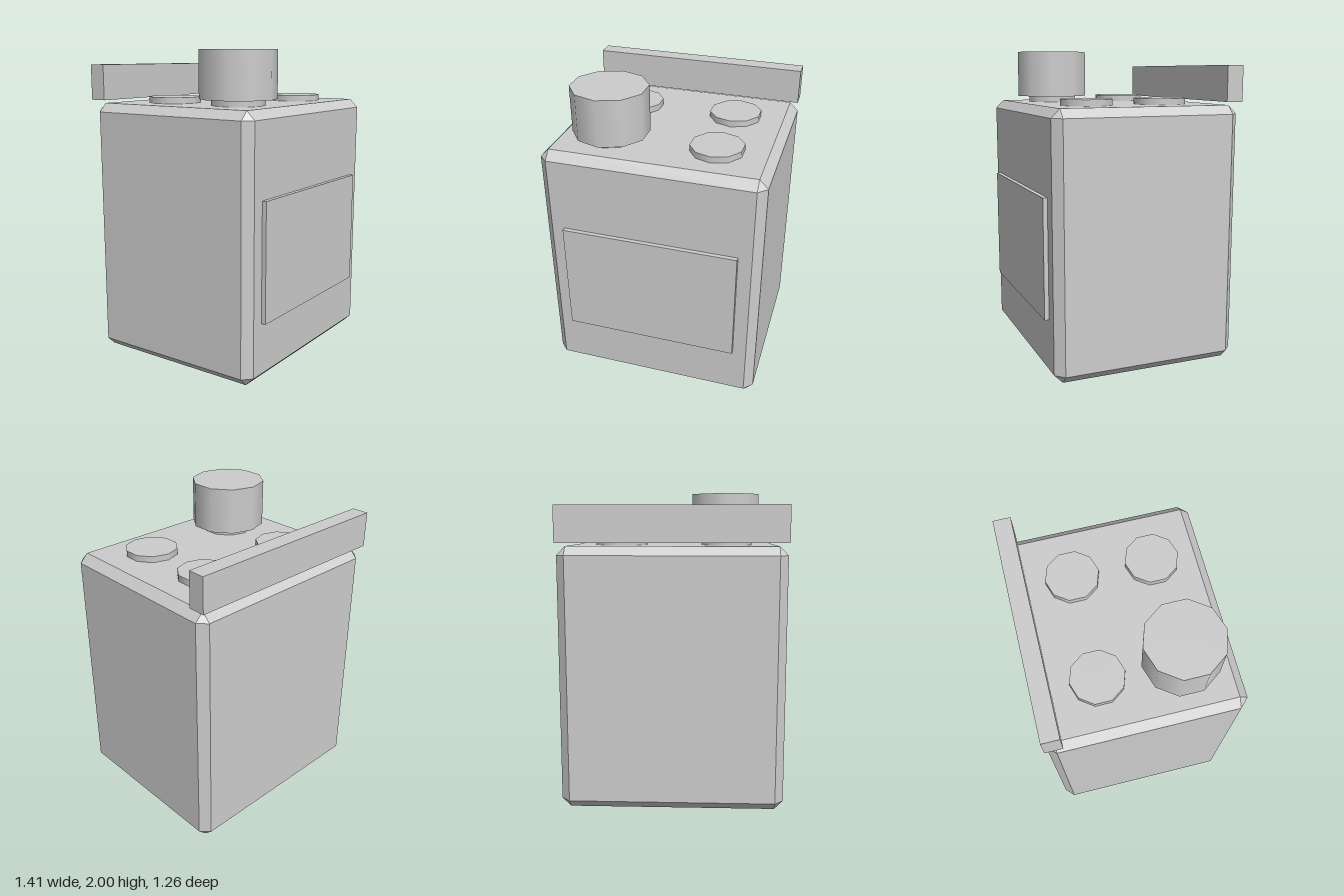
import * as THREE from 'three';
import { ConvexGeometry } from 'three/addons/geometries/ConvexGeometry.js';

// Box with every edge cut at 45 degrees, centred on the origin
function chamferedBox(w, h, d, c) {
  const points = [];
  for (const sx of [-1, 1]) for (const sy of [-1, 1]) for (const sz of [-1, 1]) {
    const x = w / 2, y = h / 2, z = d / 2;
    points.push(
      new THREE.Vector3(sx * x, sy * (y - c), sz * (z - c)),
      new THREE.Vector3(sx * (x - c), sy * y, sz * (z - c)),
      new THREE.Vector3(sx * (x - c), sy * (y - c), sz * z)
    );
  }
  return new ConvexGeometry(points);
}

export function createModel() {
  const stove = new THREE.Group();
  stove.name = 'stove';

  const grey = new THREE.MeshStandardMaterial({ color: 0xcccccc });
  grey.name = 'light grey';

  function add(name, geometry, x, y, z) {
    const mesh = new THREE.Mesh(geometry, grey);
    mesh.name = name;
    mesh.position.set(x, y, z);
    stove.add(mesh);
  }

  // Upright ten-sided cylinder between two heights
  function addDisc(name, radius, x, y0, y1, z) {
    add(name, new THREE.CylinderGeometry(radius, radius, y1 - y0, 10), x, (y0 + y1) / 2, z);
  }

  // Cabinet
  add('body', chamferedBox(1.41, 1.66, 1.222, 0.055), 0, 0.83, -0.009);

  // Oven door
  add('ovenDoor', new THREE.BoxGeometry(1.13, 0.755, 0.06), -0.002, 0.757, 0.6);

  // Raised panel along the back edge
  add('backPanel', new THREE.BoxGeometry(1.41, 0.225, 0.11), 0, 1.794, -0.576);

  // Four burners
  for (const x of [-0.34, 0.337])
    for (const z of [-0.237, 0.27]) addDisc('burner', 0.169, x, 1.63, 1.7, z);

  // Pot on the front burner
  addDisc('pot', 0.243, -0.342, 1.7, 2, 0.272);

  return stove;
}
